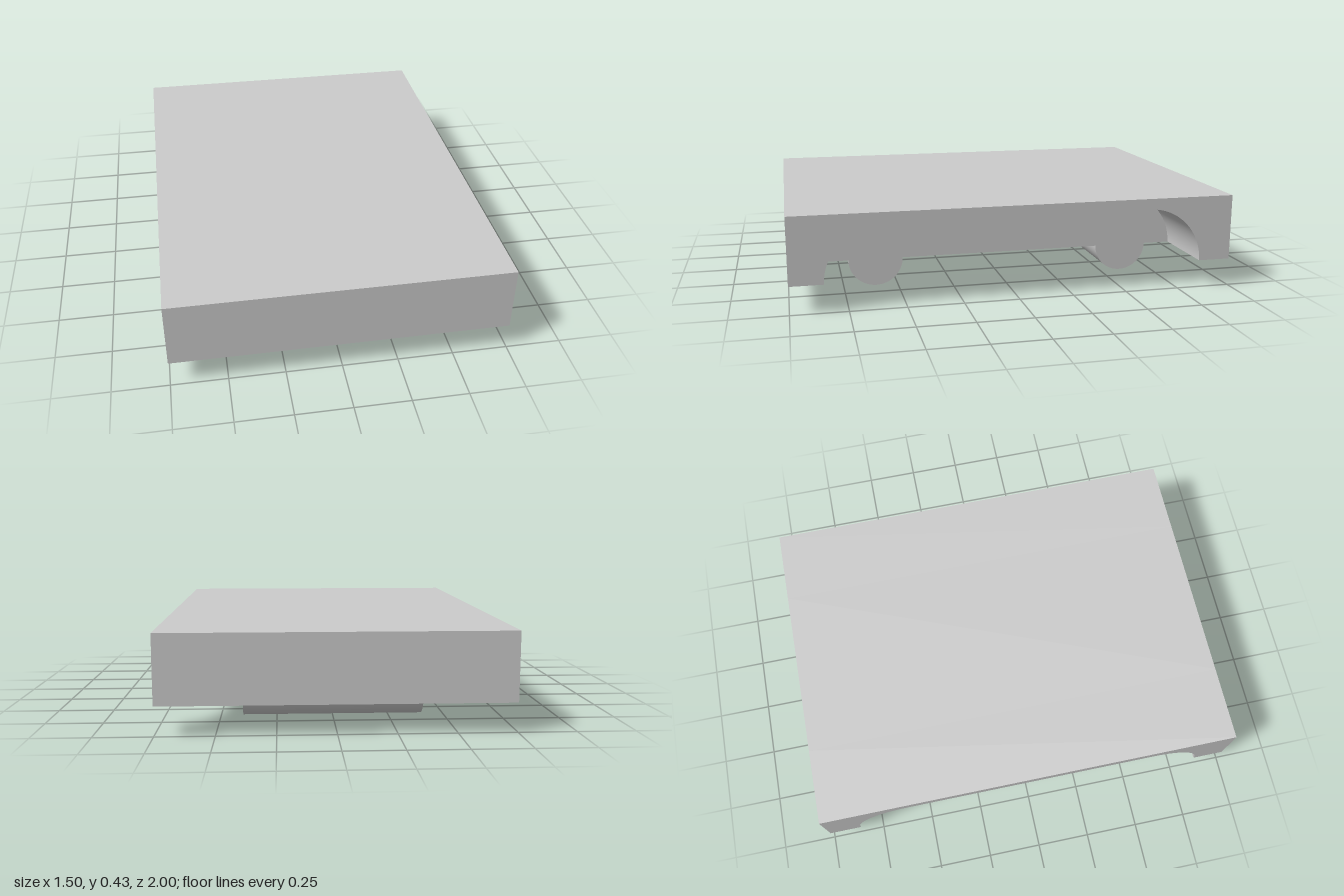
import * as THREE from 'three';
import { toCreasedNormals } from 'three/addons/utils/BufferGeometryUtils.js';

const BASE = 0.126, TOP = 0.426; // underside and top of the slab
const HALF_LENGTH = 1, HALF_WIDTH = 0.75, CORE = 0.4;
const ARC_Z = 0.6, ROLLER_R = 0.126, ARCH_R = 0.252;

const material = new THREE.MeshStandardMaterial({ color: 0xcccccc });

// Side profile of the slab; drawUnderside adds the lower edge from end to end
function slabProfile(drawUnderside) {
  const shape = new THREE.Shape();
  shape.moveTo(-HALF_LENGTH, TOP);
  shape.lineTo(-HALF_LENGTH, BASE);
  drawUnderside(shape);
  shape.lineTo(HALF_LENGTH, BASE);
  shape.lineTo(HALF_LENGTH, TOP);
  shape.closePath();
  return shape;
}

// Extrude a profile across the width, from x0 to x1
function extrudeAcross(name, shape, x0, x1) {
  const geometry = new THREE.ExtrudeGeometry(shape, { depth: x1 - x0, bevelEnabled: false, curveSegments: 16 });
  geometry.rotateY(Math.PI / 2).translate(x0, 0, 0);
  const mesh = new THREE.Mesh(toCreasedNormals(geometry, 0.5), material);
  mesh.name = name;
  return mesh;
}

export function createModel() {
  const model = new THREE.Group();
  model.name = 'slab';

  // Solid middle with two half-round rollers under it
  const core = slabProfile((s) => {
    for (const z of [-ARC_Z, ARC_Z]) s.absarc(z, BASE, ROLLER_R, Math.PI, 2 * Math.PI, false);
  });
  model.add(extrudeAcross('coreWithRollers', core, -CORE, CORE));

  // Side sections, each hollowed by a long round-cornered arch
  const side = slabProfile((s) => {
    s.absarc(-ARC_Z, BASE, ARCH_R, Math.PI, Math.PI / 2, true);
    s.absarc(ARC_Z, BASE, ARCH_R, Math.PI / 2, 0, true);
  });
  model.add(extrudeAcross('leftArch', side, CORE, HALF_WIDTH));
  model.add(extrudeAcross('rightArch', side, -HALF_WIDTH, -CORE));

  return model;
}
